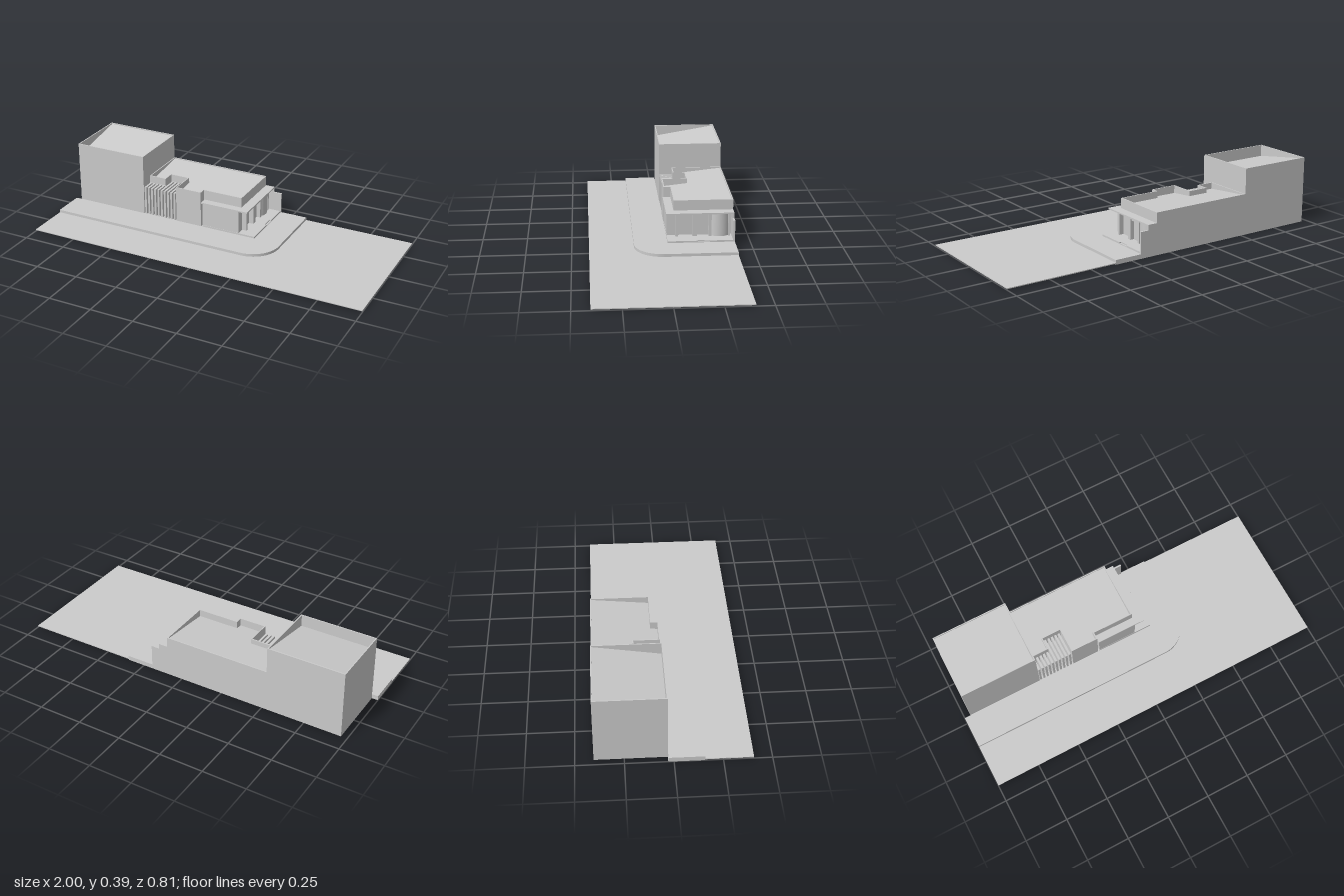
import * as THREE from 'three';

const mat = new THREE.MeshStandardMaterial({ color: 0xcccccc, side: THREE.DoubleSide });

// plan points are [x, z], counter-clockwise seen from above
const toShape = pts => new THREE.Shape(pts.map(([x, z]) => new THREE.Vector2(x, -z)));

// inset a right-angled plan outline by t
function inset(pts, t) {
  const n = pts.length;
  const inward = i => {
    const a = pts[i % n], b = pts[(i + 1) % n];
    const dx = Math.sign(b[0] - a[0]), dz = Math.sign(b[1] - a[1]);
    return [dz, -dx];
  };
  return pts.map((p, i) => {
    const a = inward(i + n - 1), b = inward(i);
    return [p[0] + t * (a[0] + b[0]), p[1] + t * (a[1] + b[1])];
  });
}

export function createModel() {
  const root = new THREE.Group();
  const add = (name, geo, parent = root) => {
    const m = new THREE.Mesh(geo, mat);
    m.name = name;
    parent.add(m);
    return m;
  };
  const box = (name, x0, x1, y0, y1, z0, z1, parent) =>
    add(name, new THREE.BoxGeometry(x1 - x0, y1 - y0, z1 - z0)
      .translate((x0 + x1) / 2, (y0 + y1) / 2, (z0 + z1) / 2), parent);
  const slab = (name, shape, y0, y1, parent) =>
    add(name, new THREE.ExtrudeGeometry(shape, { depth: y1 - y0, bevelEnabled: false, curveSegments: 16 })
      .rotateX(-Math.PI / 2).translate(0, y0, 0), parent);

  // road sheet, cut away beside the tower
  slab('road', toShape([[-1, 0.405], [1, 0.405], [1, -0.405], [-0.965, -0.405], [-0.965, -0.03], [-1, -0.03]]), 0.005, 0.01);

  // pavement with one rounded street corner
  const walk = new THREE.Shape();
  walk.moveTo(-1, -0.157);
  walk.lineTo(0.193, -0.157);
  walk.absarc(0.193, 0.003, 0.16, -Math.PI / 2, 0, false);
  walk.lineTo(0.353, 0.405);
  walk.lineTo(-0.965, 0.405);
  walk.lineTo(-0.965, 0.028);
  walk.lineTo(-1, 0.028);
  slab('pavement', walk, 0, 0.026);

  // thin-walled volume with a roof falling towards the front
  function volume(name, pts, top, roofBack, roofFront) {
    const g = new THREE.Group();
    g.name = name;
    root.add(g);
    const inner = inset(pts, 0.006);
    const ring = toShape(pts);
    ring.holes.push(toShape(inner));
    slab('walls', ring, 0.003, top, g);
    const roof = new THREE.ShapeGeometry(toShape(inner)).rotateX(-Math.PI / 2);
    const p = roof.attributes.position;
    for (let i = 0; i < p.count; i++) {
      const t = (p.getZ(i) + 0.405) / 0.375;
      p.setY(i, roofBack + (roofFront - roofBack) * t);
    }
    roof.computeVertexNormals();
    add('roof', roof, g);
  }
  volume('tower', [[-0.965, -0.03], [-0.525, -0.03], [-0.525, -0.405], [-0.965, -0.405]], 0.388, 0.383, 0.32);
  volume('lowBuilding', [[-0.525, -0.105], [-0.42, -0.105], [-0.42, -0.175], [-0.31, -0.175], [-0.31, -0.03],
    [-0.15, -0.03], [-0.15, -0.07], [0.09, -0.07], [0.09, -0.405], [-0.525, -0.405]], 0.24, 0.235, 0.195);

  // deep vertical fins in front of the recessed bays
  const fins = new THREE.Group();
  fins.name = 'fins';
  root.add(fins);
  for (let i = 0; i < 10; i++) {
    const x = -0.515 + i * 0.0213;
    box('fin', x - 0.006, x + 0.006, 0.026, 0.197, i < 5 ? -0.105 : -0.175, -0.032, fins);
  }

  // shop plinth with a notch at the door
  slab('plinth', toShape([[-0.14, -0.03], [0.19, -0.03], [0.19, -0.2], [0.18, -0.2], [0.18, -0.265],
    [0.19, -0.265], [0.19, -0.405], [-0.14, -0.405]]), 0.02, 0.036);
  box('doorStep', 0.175, 0.19, 0.02, 0.031, -0.265, -0.2);

  // shop front and canopy
  box('frontPanel', -0.14, 0.09, 0.03, 0.174, -0.08, -0.032);
  box('canopy', -0.145, 0.145, 0.173, 0.181, -0.405, -0.025);
  box('sideLintel', 0.088, 0.11, 0.146, 0.174, -0.265, -0.2);

  // side piers
  for (const [z, w] of [[-0.086, 0.014], [-0.187, 0.025], [-0.274, 0.016], [-0.38, 0.01]])
    box('pier', 0.09, 0.118, 0.03, 0.174, z - w / 2, z + w / 2);

  // door with frame
  box('door', 0.088, 0.096, 0.036, 0.146, -0.264, -0.201);

  // curved bay and its window panel
  const bay = (name, r, h, y, a) =>
    add(name, new THREE.CylinderGeometry(r, r, h, 16, 1, true, Math.PI / 2 - a, 2 * a)
      .translate(0.06, y, -0.328));
  bay('bay', 0.068, 0.138, 0.105, 0.9);
  bay('bayWindow', 0.07, 0.102, 0.102, 0.65);

  // stepped end wall at the back
  box('endWall', 0.088, 0.145, 0.003, 0.178, -0.405, -0.395);
  box('endWallLow', 0.145, 0.193, 0.003, 0.15, -0.405, -0.395);

  return root;
}
